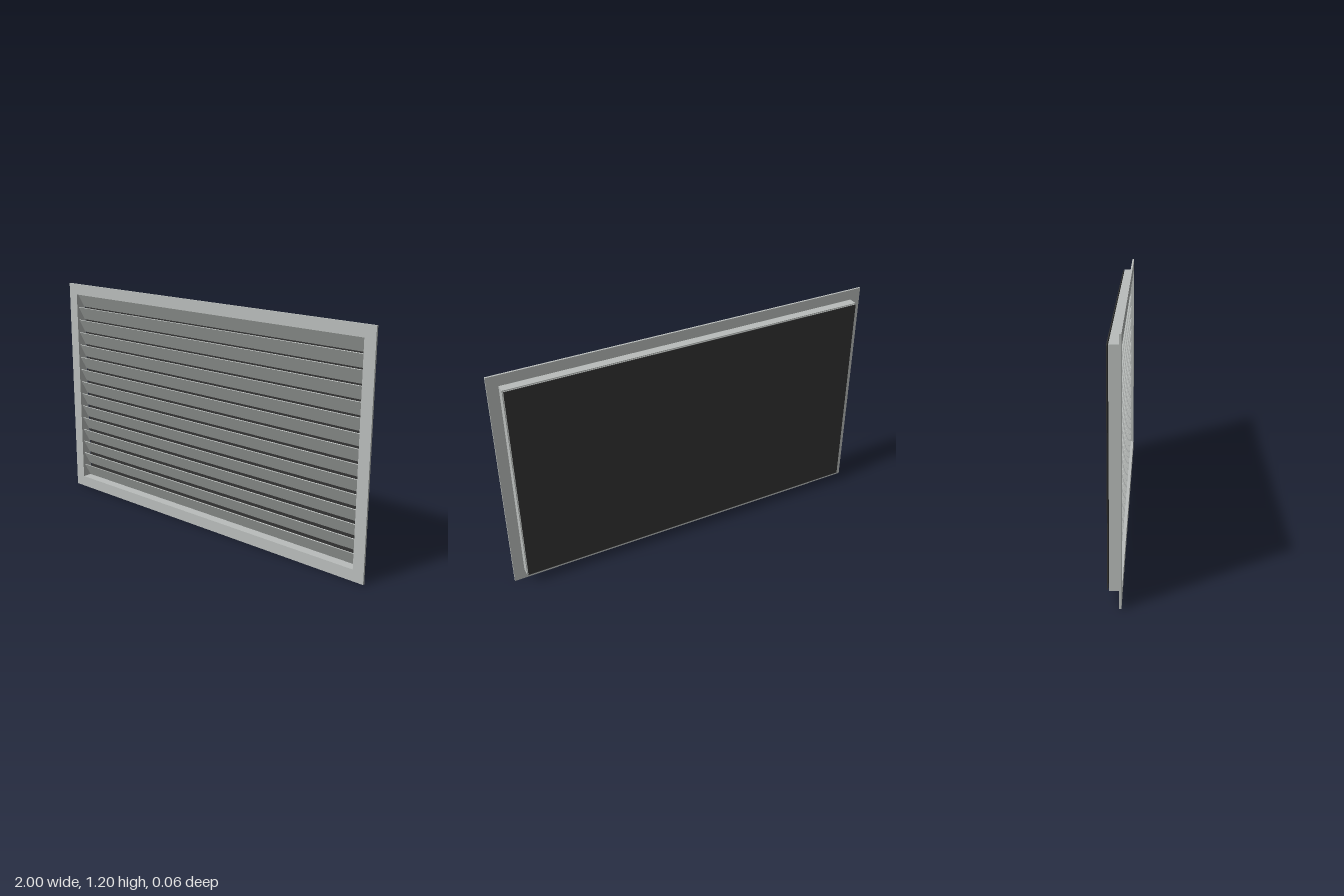
import * as THREE from 'three';

// Rectangular ring in the xy plane, extruded from z0 to z1
function ring(outerW, outerH, innerW, innerH, z0, z1) {
  const rect = (T, w, h) => {
    const p = new T();
    p.moveTo(-w / 2, -h / 2);
    p.lineTo(w / 2, -h / 2);
    p.lineTo(w / 2, h / 2);
    p.lineTo(-w / 2, h / 2);
    p.closePath();
    return p;
  };
  const shape = rect(THREE.Shape, outerW, outerH);
  shape.holes.push(rect(THREE.Path, innerW, innerH));
  const g = new THREE.ExtrudeGeometry(shape, { depth: z1 - z0, bevelEnabled: false });
  return g.translate(0, 0, z0);
}

export function createModel() {
  const group = new THREE.Group();
  group.name = 'louvreVent';

  const metal = new THREE.MeshStandardMaterial({ color: 0xb9bdbb });
  metal.name = 'light grey metal';
  const mesh = new THREE.MeshStandardMaterial({ color: 0x333333 });
  mesh.name = 'dark screen';

  const midY = 0.6;
  const add = (name, geometry, material, y = midY, z = 0) => {
    const m = new THREE.Mesh(geometry, material);
    m.name = name;
    m.position.set(0, y, z);
    group.add(m);
    return m;
  };

  // Front flange and the shallow collar behind it
  add('flange', ring(2, 1.2, 1.882, 1.082, 0.022, 0.032), metal);
  add('collar', ring(1.89, 1.09, 1.882, 1.082, -0.023, 0.022), metal);

  // Sloping slats: top edge forward, bottom edge back
  const count = 15, pitch = 0.072, depth = 0.04;
  const slatGeometry = new THREE.BoxGeometry(1.882, Math.hypot(pitch, depth), 0.004);
  for (let i = 0; i < count; i++) {
    const slat = add('slat', slatGeometry, metal, midY + (i - (count - 1) / 2) * pitch, -0.001);
    slat.rotation.x = Math.atan2(depth, pitch);
  }

  // Dark screen standing just behind the collar
  add('backScreen', new THREE.BoxGeometry(1.88, 1.08, 0.004), mesh, midY, -0.03);

  return group;
}
